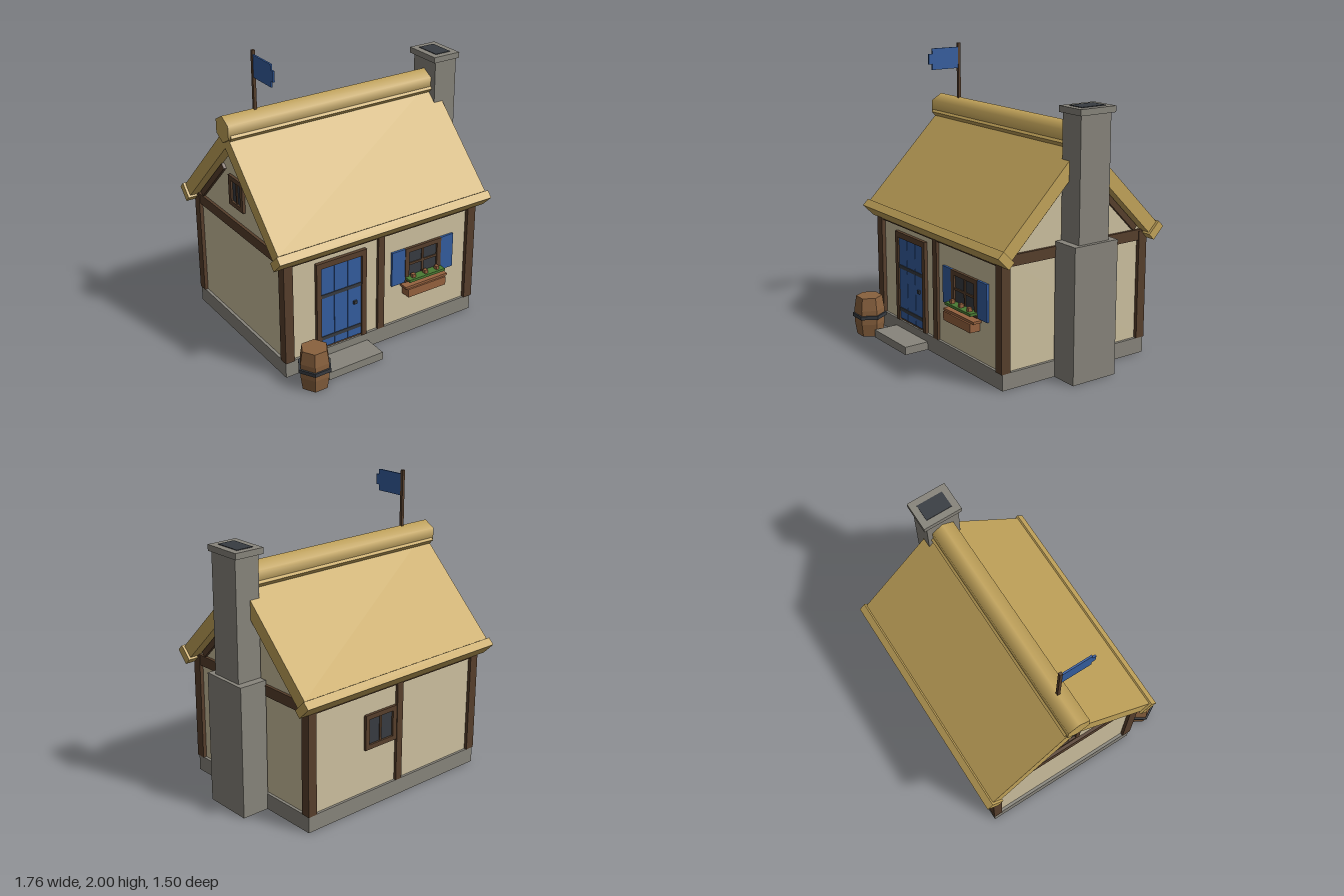
import * as THREE from 'three';

const MID = -0.0875; // z of the ridge line

function paint(name, color) {
  const m = new THREE.MeshStandardMaterial({ color });
  m.name = name;
  return m;
}

export function createModel() {
  const plaster = paint('plaster', 0xcdc09f);
  const straw = paint('straw', 0xc3a45a);
  const stone = paint('stone', 0x87847b);
  const timber = paint('timber', 0x573f2c);
  const blue = paint('bluePaint', 0x345d9f);
  const wood = paint('barrelWood', 0x89613e);
  const clay = paint('planterWood', 0x96623f);
  const iron = paint('iron', 0x373b41);
  const leaf = paint('leaf', 0x4a7a33);

  const house = new THREE.Group();
  house.name = 'cottage';

  const add = (name, geo, mat, parent = house) => {
    const mesh = new THREE.Mesh(geo, mat);
    mesh.name = name;
    parent.add(mesh);
    return mesh;
  };
  // Box given by its limits on each axis
  const box = (name, mat, x0, x1, y0, y1, z0, z1, parent = house) => {
    const mesh = add(name, new THREE.BoxGeometry(x1 - x0, y1 - y0, z1 - z0), mat, parent);
    mesh.position.set((x0 + x1) / 2, (y0 + y1) / 2, (z0 + z1) / 2);
    return mesh;
  };
  // Pair of 45 degree slabs whose outer face is y = c - |z - MID|, from z offset d0 to d1
  const slopePair = (name, mat, x0, x1, c, d0, d1, t) => {
    const d = (d0 + d1) / 2, drop = (t / 2) * Math.SQRT1_2;
    for (const s of [1, -1]) {
      const mesh = add(name, new THREE.BoxGeometry(x1 - x0, t, (d1 - d0) * Math.SQRT2), mat);
      mesh.rotation.x = s * Math.PI / 4;
      mesh.position.set((x0 + x1) / 2, c - d - drop, MID + s * (d - drop));
    }
  };

  // Foundation and doorstep
  box('foundation', stone, -0.81, 0.69, 0, 0.11, -0.665, 0.49);
  box('doorstep', stone, -0.595, -0.18, 0, 0.055, 0.48, 0.665);

  // Plaster walls with gables
  const wallShape = new THREE.Shape([
    [-0.56, 0.11], [0.56, 0.11], [0.56, 0.85], [0, 1.41], [-0.56, 0.85],
  ].map(([z, y]) => new THREE.Vector2(z, y)));
  const walls = new THREE.ExtrudeGeometry(wallShape, { depth: 1.46, bevelEnabled: false });
  walls.rotateY(-Math.PI / 2);
  walls.translate(0.67, 0, MID);
  add('walls', walls, plaster);

  // Timber frame
  for (const [x0, x1] of [[-0.815, -0.75], [0.63, 0.695]]) {
    box('cornerPost', timber, x0, x1, 0.11, 0.85, 0.435, 0.5);
    box('cornerPost', timber, x0, x1, 0.11, 0.85, -0.67, -0.605);
  }
  box('middlePost', timber, -0.1, -0.05, 0.11, 0.82, 0.46, 0.493);
  box('middlePost', timber, -0.11, -0.06, 0.11, 0.82, -0.668, -0.63);
  box('eaveBeam', timber, -0.8, 0.68, 0.79, 0.85, 0.45, 0.49);
  box('eaveBeam', timber, -0.8, 0.68, 0.79, 0.85, -0.665, -0.62);
  for (const [x0, x1] of [[-0.81, -0.77], [0.65, 0.69]]) {
    box('gableBeam', timber, x0, x1, 0.79, 0.862, -0.64, 0.465);
    slopePair('gableBrace', timber, x0, x1, 1.39, 0.17, 0.5, 0.04);
  }

  // Thatched roof: slabs, eave rolls, ridge saddle and ridge roll
  slopePair('roofSlab', straw, -0.865, 0.75, 1.5275, 0, 0.6125, 0.09);
  slopePair('eaveRoll', straw, -0.88, 0.765, 1.5425, 0.6225, 0.6625, 0.113);
  slopePair('ridgeSaddle', straw, -0.865, 0.75, 1.5875, 0, 0.0925, 0.05);
  const ridge = new THREE.CylinderGeometry(0.09, 0.09, 1.645, 6);
  ridge.rotateY(Math.PI / 2);
  ridge.rotateZ(Math.PI / 2);
  // Turn the hexagon so that a corner points up
  ridge.computeBoundingBox();
  if (ridge.boundingBox.max.y < 0.085) ridge.rotateX(Math.PI / 6);
  add('ridgeRoll', ridge, straw).position.set(-0.0575, 1.53, MID);

  // Chimney
  box('chimneyBase', stone, 0.685, 0.88, 0, 0.895, -0.255, 0.085);
  box('chimneyStack', stone, 0.68, 0.855, 0.85, 1.7, -0.2, 0.035);
  box('chimneyCap', stone, 0.66, 0.87, 1.695, 1.735, -0.225, 0.05);
  box('chimneyFlue', iron, 0.705, 0.825, 1.73, 1.739, -0.18, 0.005);

  // Door with planks, straps and knob
  const door = new THREE.Group();
  door.name = 'door';
  house.add(door);
  box('doorFrameSide', timber, -0.575, -0.54, 0.11, 0.75, 0.46, 0.497, door);
  box('doorFrameSide', timber, -0.23, -0.195, 0.11, 0.75, 0.46, 0.497, door);
  box('doorFrameTop', timber, -0.54, -0.23, 0.71, 0.75, 0.46, 0.497, door);
  box('doorBacking', timber, -0.54, -0.23, 0.11, 0.71, 0.46, 0.478, door);
  for (let i = 0; i < 3; i++) {
    const x = -0.54 + i * 0.104;
    box('doorPlank', blue, x, x + 0.1, 0.125, 0.708, 0.47, 0.486, door);
  }
  for (const y of [0.18, 0.49]) box('doorStrap', iron, -0.54, -0.232, y, y + 0.025, 0.484, 0.491, door);
  box('doorKnob', iron, -0.293, -0.268, 0.37, 0.393, 0.484, 0.499, door);

  // Window facing +z, centred on its own origin
  const makeWindow = (name, w, h, crossBar) => {
    const g = new THREE.Group();
    g.name = name;
    house.add(g);
    const a = w / 2, b = h / 2, f = 0.032;
    box('windowPane', iron, -a + 0.01, a - 0.01, -b + 0.01, b - 0.01, -0.01, 0.006, g);
    for (const s of [-1, 1]) {
      const x = s * (a - f / 2), y = s * (b - f / 2);
      box('windowFrame', timber, x - f / 2, x + f / 2, -b, b, -0.01, 0.02, g);
      box('windowFrame', timber, -a + f, a - f, y - f / 2, y + f / 2, -0.01, 0.02, g);
    }
    box('windowBar', timber, -0.008, 0.008, -b + f, b - f, -0.01, 0.013, g);
    if (crossBar) box('windowBar', timber, -a + f, a - f, -0.008, 0.008, -0.01, 0.013, g);
    return g;
  };
  makeWindow('frontWindow', 0.295, 0.25, true).position.set(0.2675, 0.52, 0.4725);
  const back = makeWindow('backWindow', 0.27, 0.24, false);
  back.position.set(0.08, 0.53, -0.6475);
  back.rotation.y = Math.PI;
  const attic = makeWindow('gableWindow', 0.18, 0.21, false);
  attic.position.set(-0.79, 1.07, MID);
  attic.rotation.y = -Math.PI / 2;

  // Shutters and flower box
  box('shutter', blue, 0.015, 0.12, 0.395, 0.645, 0.465, 0.488);
  box('shutter', blue, 0.415, 0.52, 0.395, 0.645, 0.465, 0.488);
  box('flowerBox', clay, 0.11, 0.42, 0.31, 0.37, 0.47, 0.547);
  box('flowerBoxRim', clay, 0.095, 0.44, 0.37, 0.386, 0.47, 0.535);
  box('leaves', leaf, 0.122, 0.415, 0.416, 0.434, 0.48, 0.543);
  for (const x of [0.17, 0.27, 0.365]) box('flower', clay, x - 0.012, x + 0.012, 0.432, 0.459, 0.5, 0.528);

  // Six-sided barrel with an iron hoop
  const barrel = new THREE.Group();
  barrel.name = 'barrel';
  barrel.position.set(-0.695, 0, 0.648);
  barrel.rotation.y = Math.PI / 6;
  house.add(barrel);
  const staves = [[0, 0], [0.09, 0], [0.104, 0.09], [0.104, 0.19], [0.09, 0.278], [0, 0.278]];
  const body = new THREE.LatheGeometry(staves.map(([r, y]) => new THREE.Vector2(r, y)), 6).toNonIndexed();
  body.computeVertexNormals();
  add('barrelBody', body, wood, barrel);
  const hoop = new THREE.CylinderGeometry(0.117, 0.117, 0.025, 6).toNonIndexed();
  hoop.computeVertexNormals();
  add('barrelHoop', hoop, iron, barrel).position.y = 0.142;

  // Flag on the ridge
  box('flagPole', timber, -0.655, -0.635, 1.58, 2, -0.097, -0.077);
  box('flag', blue, -0.651, -0.639, 1.825, 1.972, -0.077, 0.133);
  box('flagTail', blue, -0.651, -0.639, 1.865, 1.935, 0.133, 0.16);

  return house;
}
